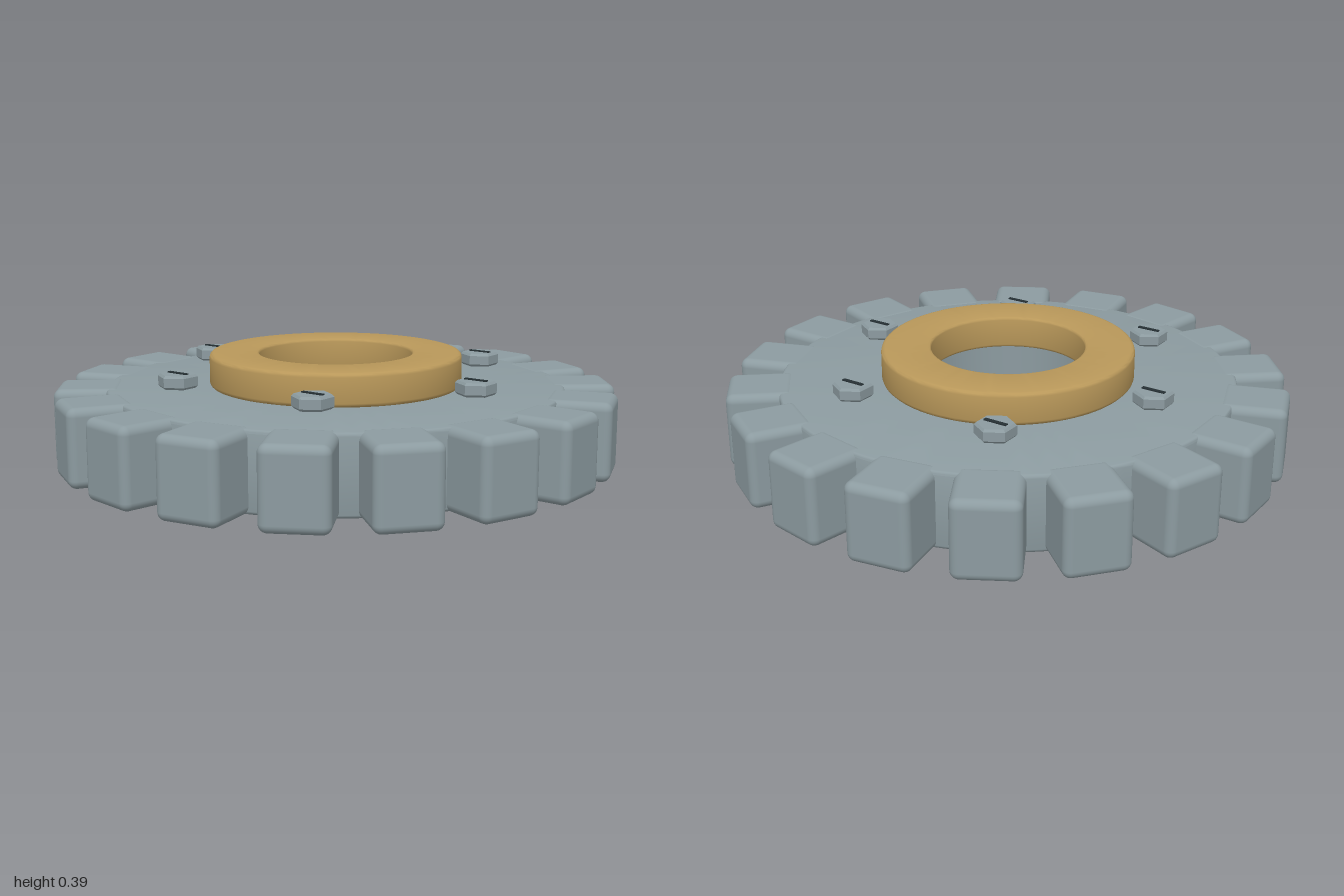
import * as THREE from 'three';
import { toCreasedNormals } from 'three/addons/utils/BufferGeometryUtils.js';
import { RoundedBoxGeometry } from 'three/addons/geometries/RoundedBoxGeometry.js';

const steel = new THREE.MeshStandardMaterial({ color: 0x8c9ba0 });
const brass = new THREE.MeshStandardMaterial({ color: 0xb9985a });
const dark = new THREE.MeshStandardMaterial({ color: 0x263034 });

function add(parent, name, geometry, material) {
  const mesh = new THREE.Mesh(geometry, material);
  mesh.name = name;
  parent.add(mesh);
  return mesh;
}

// Flat ring with a hole; outer edges rounded by bevel b, inner edges by c
function ringGeometry(inner, outer, y0, y1, b, c) {
  const pts = [];
  const corner = (x, y, r, start) => {
    if (r === 0) { pts.push(new THREE.Vector2(x, y)); return; }
    for (let i = 0; i <= 3; i++) {
      const a = start + (i / 3) * Math.PI / 2;
      pts.push(new THREE.Vector2(x + r * Math.cos(a), y + r * Math.sin(a)));
    }
  };
  corner(outer - b, y0 + b, b, -Math.PI / 2);
  corner(outer - b, y1 - b, b, 0);
  corner(inner + c, y1 - c, c, Math.PI / 2);
  corner(inner + c, y0 + c, c, Math.PI);
  pts.push(pts[0].clone());
  return toCreasedNormals(new THREE.LatheGeometry(pts, 96), 0.7);
}

// Hexagonal head with small chamfers, centred on y = 0
function hexHeadGeometry(radius, height, bevel) {
  const h = height / 2;
  const profile = [
    [0, -h], [radius - bevel, -h], [radius, -h + bevel],
    [radius, h - bevel], [radius - bevel, h], [0, h],
  ].map(([x, y]) => new THREE.Vector2(x, y));
  return toCreasedNormals(new THREE.LatheGeometry(profile, 6), 0.2);
}

export function createModel() {
  const model = new THREE.Group();
  model.name = 'gear';

  // Gear body and raised hub
  add(model, 'disc', ringGeometry(0.32, 0.82, 0.002, 0.274, 0.012, 0), steel);
  add(model, 'hubRing', ringGeometry(0.275, 0.453, 0.272, 0.39, 0.015, 0.01), brass);

  // Eighteen rounded teeth
  const teeth = new THREE.Group();
  teeth.name = 'teeth';
  model.add(teeth);
  const toothGeometry = new RoundedBoxGeometry(0.24, 0.276, 0.225, 4, 0.03);
  for (let i = 0; i < 18; i++) {
    const a = (i / 18) * Math.PI * 2;
    const tooth = add(teeth, 'tooth', toothGeometry, steel);
    tooth.position.set(0.88 * Math.cos(a), 0.138, -0.88 * Math.sin(a));
    tooth.rotation.y = a;
  }

  // Six slotted bolts, all facing the same way
  const headGeometry = hexHeadGeometry(0.07, 0.048, 0.008);
  const slotGeometry = new THREE.BoxGeometry(0.085, 0.012, 0.014);
  for (let i = 0; i < 6; i++) {
    const a = (i / 6) * Math.PI * 2;
    const bolt = new THREE.Group();
    bolt.name = 'bolt';
    bolt.position.set(0.59 * Math.cos(a), 0.325, 0.59 * Math.sin(a));
    add(bolt, 'boltHead', headGeometry, steel);
    add(bolt, 'boltSlot', slotGeometry, dark).position.y = 0.022;
    model.add(bolt);
  }
  return model;
}
